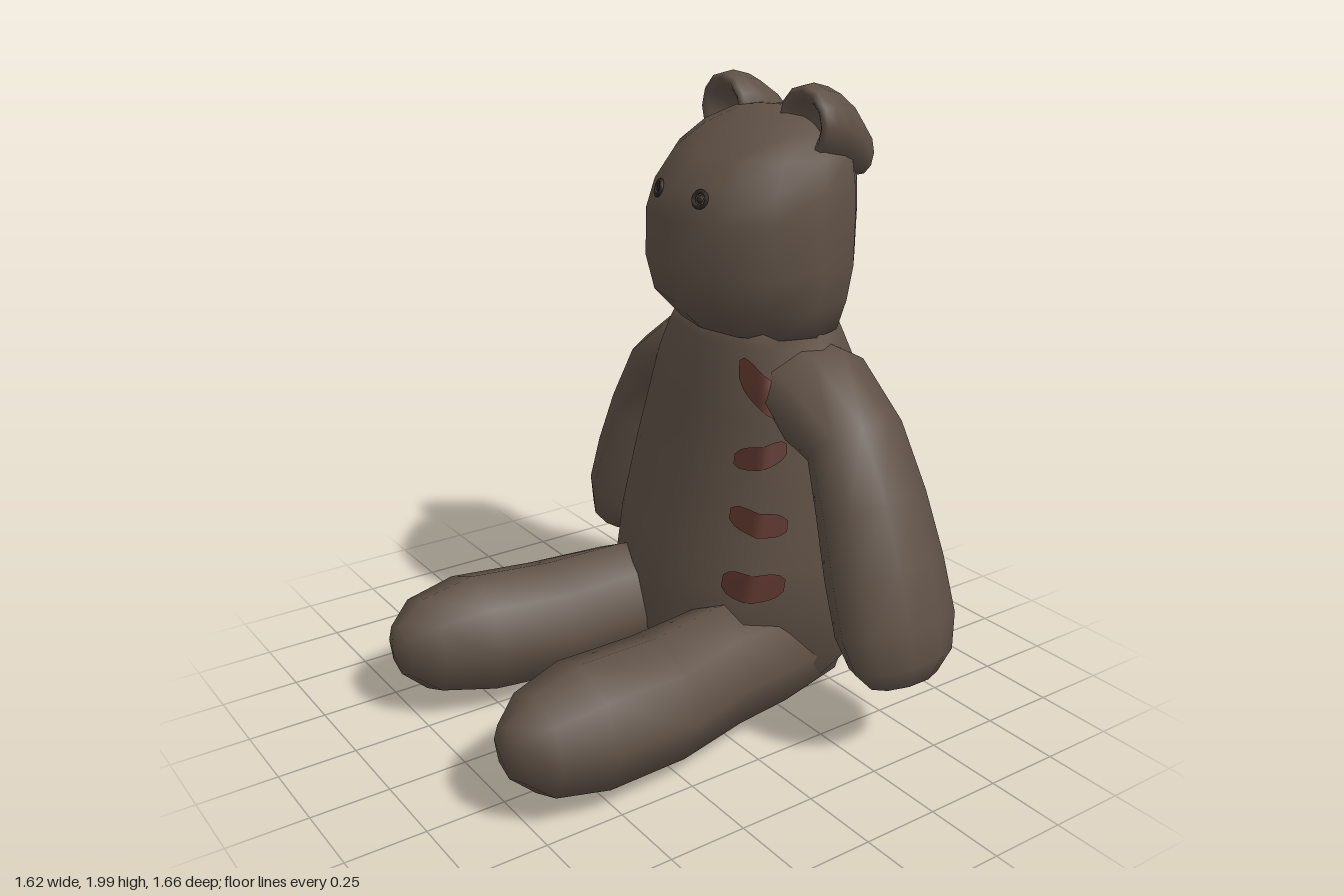
import * as THREE from 'three';
import { mergeVertices } from 'three/addons/utils/BufferGeometryUtils.js';

const V = (x, y, z) => new THREE.Vector3(x, y, z);

// Rings of points along a path of [x, y, z, ru, rv]; dir fixes the ring plane, otherwise it follows the path.
function makeRings(path, u, sides, dir, shape = () => 1) {
  const centres = path.map(p => V(p[0], p[1], p[2]));
  return path.map((p, i) => {
    const d = dir || centres[Math.min(i + 1, path.length - 1)].clone()
      .sub(centres[Math.max(i - 1, 0)]).normalize();
    const v = d.clone().cross(u).normalize();
    return Array.from({ length: sides }, (_, j) => {
      const a = j / sides * Math.PI * 2, c = Math.cos(a), s = Math.sin(a), k = shape(c);
      return centres[i].clone().addScaledVector(u, c * p[3] * k).addScaledVector(v, s * p[4] * k);
    });
  });
}

// Smooth skin over a list of rings
function skin(rings) {
  const n = rings[0].length, index = [];
  for (let i = 0; i < rings.length - 1; i++) {
    for (let j = 0; j < n; j++) {
      const a = i * n + j, b = i * n + (j + 1) % n;
      index.push(a, b, b + n, a, b + n, a + n);
    }
  }
  const g = new THREE.BufferGeometry().setFromPoints(rings.flat());
  g.setIndex(index);
  const merged = mergeVertices(g, 1e-5);
  merged.computeVertexNormals();
  return merged;
}

// Section [y, xFront, xBack, halfWidth] to a path point
const section = ([y, x0, x1, hz]) => [(x0 + x1) / 2, y, 0, (x1 - x0) / 2, hz];

// Point on the skin at height y and angle in degrees, pushed out a little
function surfacePoint(rings, path, y, deg, lift) {
  let i = 0;
  while (i < path.length - 2 && path[i + 1][1] < y) i++;
  const n = rings[0].length, t = (y - path[i][1]) / (path[i + 1][1] - path[i][1]);
  const f = deg / 360 * n, j = Math.floor(f), w = f - j;
  const at = r => rings[r][j % n].clone().lerp(rings[r][(j + 1) % n], w);
  const p = at(i).lerp(at(i + 1), t);
  const out = V(p.x - path[i][0], 0, p.z).normalize();
  return p.addScaledVector(out, lift);
}

export function createModel() {
  const model = new THREE.Group();
  const fur = new THREE.MeshStandardMaterial({ color: 0x5e5045 });
  fur.name = 'brown fur';
  const red = new THREE.MeshStandardMaterial({ color: 0x5a342c, side: THREE.DoubleSide });
  red.name = 'dull red';
  const dark = new THREE.MeshStandardMaterial({ color: 0x2a2420 });
  dark.name = 'dark eye';
  const add = (name, geometry, material = fur) => {
    const mesh = new THREE.Mesh(geometry, material);
    mesh.name = name;
    model.add(mesh);
    return mesh;
  };
  const X = V(1, 0, 0), Y = V(0, 1, 0);

  // Torso, flatter across the chest
  const torsoPath = [
    [0.01, 0.45, 0.45, 0], [0.05, 0.05, 0.67, 0.30], [0.20, -0.03, 0.78, 0.42],
    [0.40, -0.05, 0.81, 0.455], [0.55, -0.02, 0.80, 0.46], [0.80, 0.04, 0.745, 0.43],
    [1.00, 0.085, 0.68, 0.385], [1.12, 0.11, 0.635, 0.355], [1.22, 0.135, 0.595, 0.31],
    [1.28, 0.16, 0.57, 0.28], [1.33, 0.36, 0.36, 0],
  ].map(section);
  const torso = makeRings(torsoPath, X, 8, Y, c => (c < -0.1 && c > -0.9 ? 1.11 : 1));
  add('torso', skin(torso));

  // Head
  const headPath = [
    [1.20, 0.36, 0.36, 0], [1.25, 0.13, 0.58, 0.29], [1.35, 0.03, 0.62, 0.33],
    [1.46, 0.0, 0.64, 0.348], [1.61, 0.0, 0.645, 0.343], [1.70, 0.03, 0.643, 0.328],
    [1.79, 0.10, 0.625, 0.30], [1.86, 0.20, 0.57, 0.235], [1.905, 0.30, 0.50, 0.14],
    [1.918, 0.39, 0.39, 0],
  ].map(section);
  const head = makeRings(headPath, X, 12, Y);
  add('head', skin(head));

  for (const s of [1, -1]) {
    const side = s > 0 ? 'left' : 'right';

    // Leg, from hip to rounded foot
    add(side + 'Leg', skin(makeRings([
      [0.55, 0.22, 0.22, 0, 0], [0.45, 0.22, 0.24, 0.16, 0.13], [0.2, 0.23, 0.265, 0.195, 0.165],
      [0, 0.235, 0.28, 0.205, 0.178], [-0.25, 0.225, 0.315, 0.2, 0.205],
      [-0.53, 0.24, 0.342, 0.2, 0.207], [-0.70, 0.24, 0.355, 0.16, 0.162],
      [-0.785, 0.245, 0.355, 0.085, 0.085], [-0.81, 0.245, 0.355, 0, 0],
    ].map(([x, y, z, a, b]) => [x, y, z * s, a, b]), Y, 8, V(-1, 0, 0))));

    // Arm, hanging outward from the shoulder
    add(side + 'Arm', skin(makeRings([
      [1.10, 0.05, 0, 0], [1.10, 0.12, 0.20, 0.13], [1.08, 0.29, 0.20, 0.15],
      [0.975, 0.475, 0.17, 0.125], [0.80, 0.56, 0.187, 0.138], [0.615, 0.63, 0.203, 0.147],
      [0.45, 0.69, 0.207, 0.145], [0.35, 0.722, 0.18, 0.12], [0.29, 0.735, 0.125, 0.075],
      [0.265, 0.74, 0, 0],
    ].map(([y, z, a, b]) => [0.36, y, z * s, a, b]), X, 10)));

    // Ear, a cup opening towards the face
    add(side + 'Ear', skin(makeRings([
      [0.62, 1.76, 0.17, 0], [0.585, 1.785, 0.175, 0.08], [0.52, 1.83, 0.183, 0.105],
      [0.45, 1.868, 0.19, 0.116], [0.39, 1.882, 0.195, 0.118], [0.355, 1.882, 0.195, 0.113],
      [0.342, 1.882, 0.195, 0.098], [0.36, 1.88, 0.195, 0.075], [0.39, 1.88, 0.195, 0.045],
      [0.40, 1.88, 0.195, 0],
    ].map(([x, y, z, r]) => [x, y, z * s, r, r]), Y, 12, V(-1, 0, 0))));

    // Button eye: a dark ring with a dot
    const eye = new THREE.Group();
    eye.name = side + 'Eye';
    const ring = new THREE.Mesh(new THREE.TorusGeometry(0.023, 0.007, 6, 16), dark);
    ring.name = 'eyeRing';
    const dot = new THREE.Mesh(new THREE.SphereGeometry(0.012, 10, 8), dark);
    dot.name = 'eyeDot';
    dot.scale.z = 0.5;
    eye.add(ring, dot);
    const p = surfacePoint(head, headPath, 1.68, 180 - s * 19, 0.003);
    p.z = Math.abs(p.z) * s;
    eye.position.copy(p);
    eye.lookAt(p.clone().add(V(-1, 0.33, 0.35 * s)));
    model.add(eye);
  }

  // Red marks down one side of the chest: [y, height, slant, fromAngle, toAngle]
  const marks = [
    [1.11, 0.11, -0.05, 209, 238], [0.915, 0.07, 0.025, 210, 238],
    [0.715, 0.075, -0.01, 211, 239], [0.515, 0.09, 0.0, 212, 240],
  ];
  marks.forEach(([y, h, slant, a0, a1], m) => {
    const mark = new THREE.PlaneGeometry(1, 1, 10, 4);
    const pos = mark.attributes.position;
    for (let i = 0; i < pos.count; i++) {
      const t = pos.getX(i) * 2, w = Math.pow(1 - Math.pow(Math.abs(t), 4) * 0.8, 0.5);
      const py = y + slant * t + pos.getY(i) * h * w;
      const p = surfacePoint(torso, torsoPath, py, a0 + (a1 - a0) * (t + 1) / 2, 0.007);
      pos.setXYZ(i, p.x, p.y, p.z);
    }
    mark.computeVertexNormals();
    // Turn the normals outward
    const nor = mark.attributes.normal;
    if (nor.getX(0) > 0) {
      const idx = mark.index.array;
      for (let i = 0; i < idx.length; i += 3) [idx[i], idx[i + 1]] = [idx[i + 1], idx[i]];
      mark.computeVertexNormals();
    }
    add('chestMark' + (m + 1), mark, red);
  });

  return model;
}
